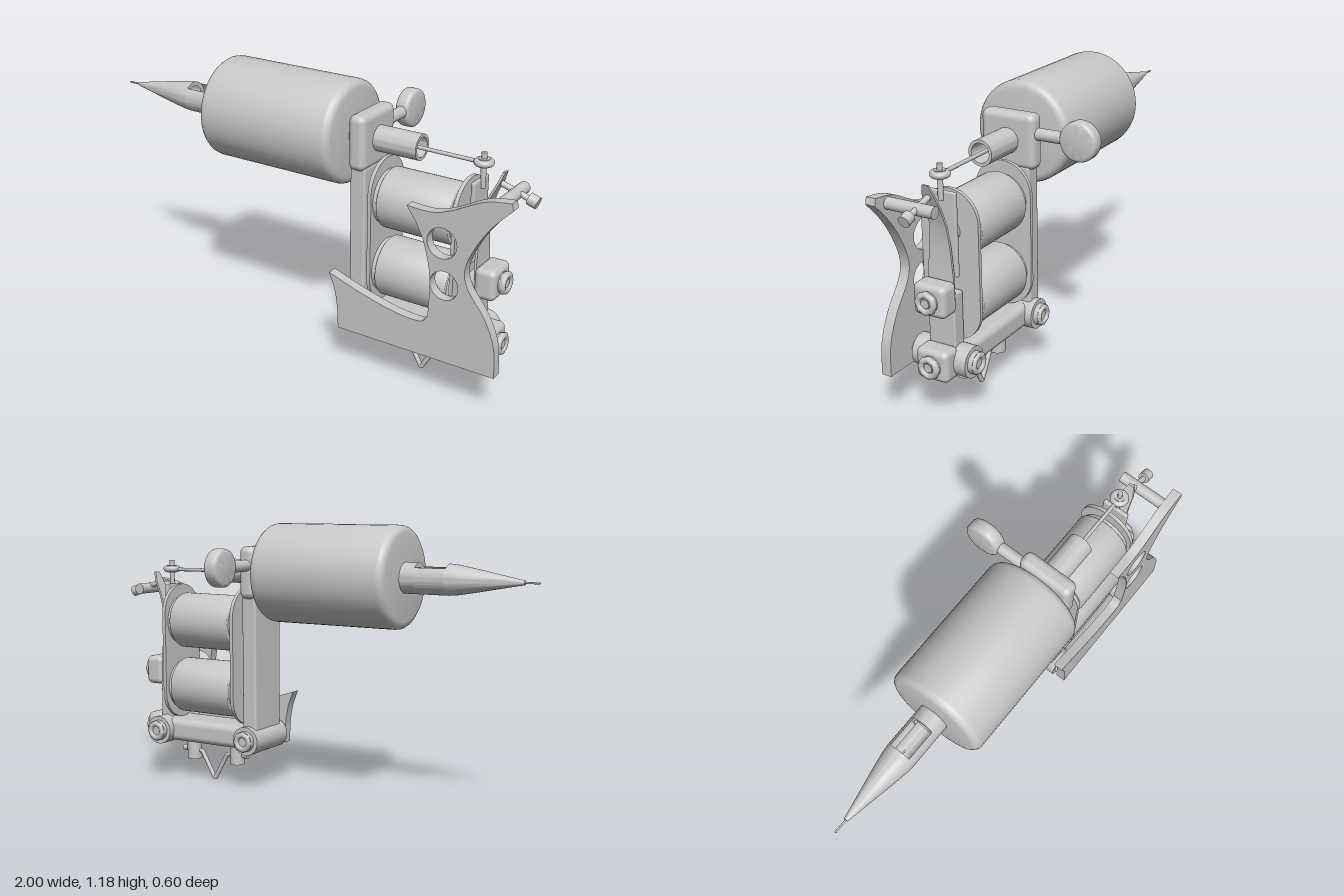
import * as THREE from 'three';
import { toCreasedNormals } from 'three/addons/utils/BufferGeometryUtils.js';
import { RoundedBoxGeometry } from 'three/addons/geometries/RoundedBoxGeometry.js';

const Z = 0.087; // shared centre line of the mechanism
const steel = new THREE.MeshStandardMaterial({ color: 0xc8c8c8, side: THREE.DoubleSide });
steel.name = 'steel grey';

export function createModel() {
  const model = new THREE.Group();
  model.name = 'coilMachine';

  const add = (name, geo, x = 0, y = 0, z = 0) => {
    const m = new THREE.Mesh(geo, steel);
    m.name = name;
    m.position.set(x, y, z);
    model.add(m);
    return m;
  };
  const crease = (geo) => toCreasedNormals(geo, 0.6);

  // Turned part along x; profile is a list of [x, radius]
  const turned = (name, profile, y, z = Z, start = 0, length = Math.PI * 2) => {
    const pts = profile.map(([x, r]) => new THREE.Vector2(r, x));
    const geo = new THREE.LatheGeometry(pts, 48, start, length);
    geo.rotateZ(-Math.PI / 2);
    return add(name, crease(geo), 0, y, z);
  };
  // Closed cylinder along x with rounded rims
  const barX = (name, x0, x1, r, y, z = Z, b = 0) => {
    const p = [[x0, 0]];
    for (let i = 0; i <= 4; i++) {
      const a = (i / 4) * Math.PI / 2;
      p.push([x0 + b * (1 - Math.sin(Math.PI / 2 - (Math.PI / 2 - a))), r - b * (1 - Math.cos(Math.PI / 2 - a))]);
    }
    const rim = [];
    for (let i = 0; i <= 4; i++) {
      const a = (i / 4) * Math.PI / 2;
      rim.push([b * (1 - Math.cos(a)), r - b * (1 - Math.sin(a))]);
    }
    const left = b ? rim.map(([d, q]) => [x0 + d, q]) : [[x0, r]];
    const right = b ? rim.map(([d, q]) => [x1 - d, q]).reverse() : [[x1, r]];
    return turned(name, [[x0, 0], ...left, ...right, [x1, 0]], y, z);
  };
  // Cylinder between two points
  const rod = (name, a, b, r, sides = 24) => {
    const p = new THREE.Vector3(...a), q = new THREE.Vector3(...b), d = q.clone().sub(p);
    const m = add(name, new THREE.CylinderGeometry(r, r, d.length(), sides));
    m.position.copy(p).add(q).multiplyScalar(0.5);
    m.quaternion.setFromUnitVectors(new THREE.Vector3(0, 1, 0), d.normalize());
    return m;
  };
  // Rounded block given by its limits
  const block = (name, x0, x1, y0, y1, z0, z1, r = 0.015) =>
    add(name, new RoundedBoxGeometry(x1 - x0, y1 - y0, z1 - z0, 3, r),
      (x0 + x1) / 2, (y0 + y1) / 2, (z0 + z1) / 2);

  // Grip, tube and hollow tip with an open window on top
  const AY = 0.985, R = 0.064;
  barX('grip', -0.43, 0.205, 0.214, AY, Z, 0.032);
  turned('tip', [[-0.94, 0], [-0.94, 0.009], [-0.86, 0.024], [-0.74, 0.047], [-0.66, 0.061], [-0.625, R]], AY);
  turned('tipWindow', [[-0.625, R], [-0.49, R]], AY, Z, Math.PI * 1.5 + 0.77, Math.PI * 2 - 1.54);
  turned('tipBore', [[-0.64, 0.035], [-0.48, 0.035]], AY, Z, 0, Math.PI);
  turned('tipCollar', [[-0.625, 0.045], [-0.625, R]], AY);
  turned('frontTube', [[-0.49, 0.045], [-0.49, R], [-0.42, R]], AY);
  rod('needle', [-1, AY, Z], [-0.6, AY, Z], 0.004, 10);
  turned('rearTube', [[0.2, 0.053], [0.505, 0.053], [0.505, 0.04], [0.3, 0.04], [0.3, 0]], AY);
  rod('needleBar', [0.3, AY, Z], [0.735, 0.98, Z], 0.008, 12);

  // Eye of the needle bar and its pin
  const eye = add('needleEye', new THREE.TorusGeometry(0.026, 0.014, 12, 28), 0.768, 0.982, Z);
  eye.rotation.x = Math.PI / 2;
  rod('eyePin', [0.768, 0.88, Z], [0.768, 1.022, Z], 0.011, 16);
  rod('eyeGrommet', [0.768, 0.966, Z], [0.768, 0.998, Z], 0.023);

  // Tube vise with thumb screw, and its upright
  block('tubeVise', 0.24, 0.315, 0.872, 1.1, -0.035, 0.21, 0.028);
  block('frontPost', 0.243, 0.313, 0.2, 0.885, -0.012, 0.19, 0.01);
  rod('thumbScrew', [0.275, 1.018, -0.02], [0.275, 1.018, -0.16], 0.025);
  barX('thumbKnob', 0.244, 0.306, 0.081, 1.018, -0.222, 0.016);

  // Coils with their cores and end washers
  for (const y of [0.75, 0.45]) {
    barX('coil', 0.377, 0.692, 0.125, y, Z, 0.004);
    barX('coilInnerWasher', 0.354, 0.378, 0.112, y);
    barX('coilOuterWasher', 0.69, 0.712, 0.112, y);
    barX('coilCore', 0.3, 0.752, 0.05, y);
  }
  // Long rounded end plates
  const stadium = new THREE.Shape();
  stadium.absarc(0, 0.18, 0.128, 0, Math.PI);
  stadium.absarc(0, -0.18, 0.128, Math.PI, Math.PI * 2);
  const plateGeo = new THREE.ExtrudeGeometry(stadium, { depth: 0.016, bevelEnabled: false, curveSegments: 24 });
  plateGeo.rotateY(Math.PI / 2);
  for (const x of [0.34, 0.71]) add('coilEndPlate', crease(plateGeo.clone()), x, 0.607, Z - 0.003);

  // Armature and rear support
  block('armatureBar', 0.748, 0.766, 0.58, 0.915, 0.027, 0.147, 0.006);
  block('rearSupport', 0.735, 0.795, 0.2, 0.52, 0.027, 0.147, 0.006);

  // Tapered spring leaning backwards
  const leaf = new THREE.BufferGeometry();
  const stations = [[0.792, 0.45, 0.06], [0.785, 0.58, 0.058], [0.783, 0.7, 0.046], [0.79, 0.79, 0.037],
    [0.815, 0.865, 0.031], [0.842, 0.92, 0.026], [0.858, 0.965, 0.013]];
  const pos = [], idx = [];
  stations.forEach(([x, y, w], i) => {
    for (const [dx, s] of [[-0.005, 1], [0.005, 1], [0.005, -1], [-0.005, -1]]) pos.push(x + dx, y, Z + s * w);
    if (i) for (let k = 0; k < 4; k++) {
      const a = (i - 1) * 4 + k, b = (i - 1) * 4 + (k + 1) % 4;
      idx.push(a, b, a + 4, b, b + 4, a + 4);
    }
  });
  const e = (stations.length - 1) * 4;
  idx.push(0, 2, 1, 0, 3, 2, e, e + 1, e + 2, e, e + 2, e + 3);
  leaf.setAttribute('position', new THREE.Float32BufferAttribute(pos, 3));
  leaf.setIndex(idx);
  leaf.computeVertexNormals();
  add('contactSpring', crease(leaf));

  // Clamp blocks with hollow hex nuts
  for (const y of [0.513, 0.246]) {
    block('clampBlock', 0.785, 0.875, y - 0.065, y + 0.065, 0.016, 0.16, 0.024);
    const nut = add('clampNut', new THREE.TorusGeometry(0.035, 0.014, 10, 8), 0.889, y, Z);
    nut.rotation.y = Math.PI / 2;
    barX('nutBody', 0.86, 0.892, 0.043, y);
    barX('boltEnd', 0.86, 0.896, 0.018, y);
  }

  // Base bar, cross sleeves and their bolts
  block('baseBar', 0.28, 0.77, 0.195, 0.298, -0.005, 0.18, 0.03);
  for (const x of [0.285, 0.765]) {
    rod('crossSleeve', [x, 0.245, -0.035], [x, 0.245, 0.21], 0.064, 36);
    rod('crossBolt', [x, 0.245, -0.055], [x, 0.245, 0.23], 0.046, 28);
    add('crossNut', new THREE.TorusGeometry(0.034, 0.013, 10, 8), x, 0.245, -0.053);
  }

  // Terminals and clip under the base
  for (const [x, s] of [[0.412, -1], [0.652, 1]]) {
    rod('terminalPost', [x, 0.105, Z], [x, 0.21, Z], 0.034);
    rod('terminalScrew', [x, 0.148, Z], [x + s * 0.06, 0.148, Z], 0.013, 14);
  }
  const clip = new THREE.CurvePath();
  const bend = [[0.42, 0.145], [0.468, 0.142], [0.537, 0.02], [0.607, 0.142], [0.65, 0.145]]
    .map(([x, y]) => new THREE.Vector3(x, y, Z));
  for (let i = 1; i < bend.length; i++) clip.add(new THREE.LineCurve3(bend[i - 1], bend[i]));
  add('clipWire', new THREE.TubeGeometry(clip, 60, 0.01, 10));

  // Side frame plate with two round holes
  const v = (list) => list.map(([x, y]) => new THREE.Vector2(x, y));
  const frame = new THREE.Shape();
  frame.moveTo(0.24, 0.198);
  frame.lineTo(0.945, 0.198);
  frame.splineThru(v([[0.936, 0.33], [0.89, 0.44], [0.815, 0.545], [0.802, 0.625], [0.845, 0.73], [0.905, 0.82], [0.978, 0.898]]));
  frame.lineTo(0.972, 0.926);
  frame.splineThru(v([[0.866, 0.907], [0.73, 0.84], [0.65, 0.816], [0.545, 0.818]]));
  frame.splineThru(v([[0.592, 0.75], [0.628, 0.67], [0.655, 0.54], [0.652, 0.375]]));
  frame.splineThru(v([[0.615, 0.345], [0.5, 0.352], [0.35, 0.388], [0.196, 0.438]]));
  frame.splineThru(v([[0.222, 0.37], [0.236, 0.29], [0.24, 0.198]]));
  for (const [x, y, r] of [[0.7, 0.7, 0.063], [0.716, 0.527, 0.06]]) {
    const hole = new THREE.Path();
    hole.absarc(x, y, r, 0, Math.PI * 2, true);
    frame.holes.push(hole);
  }
  add('sideFrame', crease(new THREE.ExtrudeGeometry(frame, { depth: 0.043, bevelEnabled: false, curveSegments: 28 })), 0, 0, 0.223);

  // Contact post and adjusting screw
  rod('contactPost', [0.905, 0.888, 0.015], [0.905, 0.888, 0.23], 0.024);
  rod('contactScrew', [0.845, 0.915, Z], [0.975, 0.874, Z], 0.012, 14);
  rod('contactScrewHead', [0.958, 0.881, Z], [0.994, 0.869, Z], 0.024);
  return model;
}
